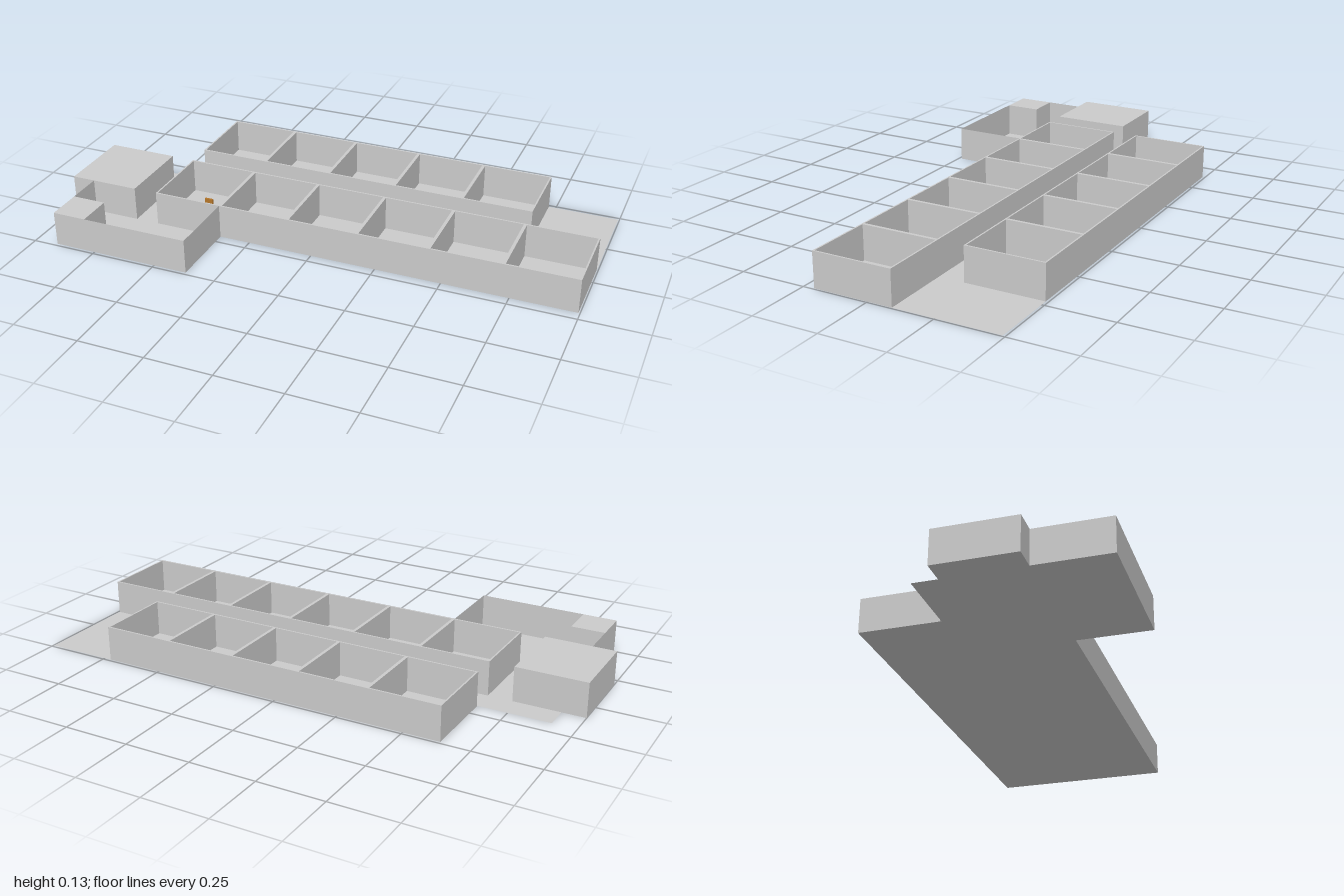
import * as THREE from 'three';

const H = 0.132;      // wall height
const T = 0.006;      // outer wall thickness
const PITCH = 0.272;  // room spacing
const X0 = -0.638;    // where both room rows begin

const grey = new THREE.MeshStandardMaterial({ color: 0xcccccc, side: THREE.DoubleSide, flatShading: true });
const wood = new THREE.MeshStandardMaterial({ color: 0xb5762a });

// box given by its footprint and height
function block(name, x0, x1, z0, z1, h = H, material = grey) {
  const mesh = new THREE.Mesh(new THREE.BoxGeometry(x1 - x0, h, z1 - z0), material);
  mesh.position.set((x0 + x1) / 2, h / 2, (z0 + z1) / 2);
  mesh.name = name;
  return mesh;
}

// paper-thin upright wall between two floor points
function sheet(name, xa, za, xb, zb) {
  const mesh = new THREE.Mesh(new THREE.PlaneGeometry(Math.hypot(xb - xa, zb - za), H), grey);
  mesh.position.set((xa + xb) / 2, H / 2, (za + zb) / 2);
  mesh.rotation.y = -Math.atan2(zb - za, xb - xa);
  mesh.name = name;
  return mesh;
}

// a row of open-topped rooms
function roomRow(name, count, z0, z1) {
  const row = new THREE.Group();
  row.name = name;
  const x1 = X0 + count * PITCH;
  row.add(block('backWall', X0, x1, z0, z0 + T), block('frontWall', X0, x1, z1 - T, z1));
  for (let i = 0; i <= count; i++) {
    const x = X0 + i * PITCH;
    const a = i === 0 ? x : x - T;
    const b = i === count ? x : x + T;
    row.add(block(i % count ? 'partition' : 'endWall', a, b, z0 + T, z1 - T));
  }
  return row;
}

export function createModel() {
  const model = new THREE.Group();
  model.name = 'buildingPlan';

  // floor slab covering rooms, corridor and annex
  const outline = [
    [-0.638, -0.49], [0.995, -0.49], [0.995, 0.21], [-0.37, 0.21], [-0.37, 0.488],
    [-0.91, 0.488], [-0.91, -0.185], [-0.638, -0.185],
  ].map(([x, z]) => new THREE.Vector2(x, -z));
  const floor = new THREE.Mesh(new THREE.ShapeGeometry(new THREE.Shape(outline)), grey);
  floor.rotation.x = -Math.PI / 2;
  floor.name = 'floor';
  model.add(floor);

  // two rows of rooms either side of the corridor
  model.add(roomRow('backRooms', 5, -0.49, -0.19), roomRow('frontRooms', 6, -0.092, 0.21));

  // closed blocks
  model.add(block('sideBlock', -1, -0.73, -0.092, 0.21));
  model.add(block('cornerBlock', -0.91, -0.78, 0.35, 0.488));

  // annex walls
  model.add(sheet('annexFrontWall', -0.91, 0.488, -0.37, 0.488));
  model.add(sheet('annexLeftWall', -0.37, 0.488, -0.37, 0.21));
  model.add(sheet('annexRightWall', -0.91, 0.35, -0.91, 0.21));

  // small wooden panel standing in the first front room
  model.add(block('woodenPanel', -0.52, -0.487, 0.036, 0.044, 0.05, wood));

  return model;
}
